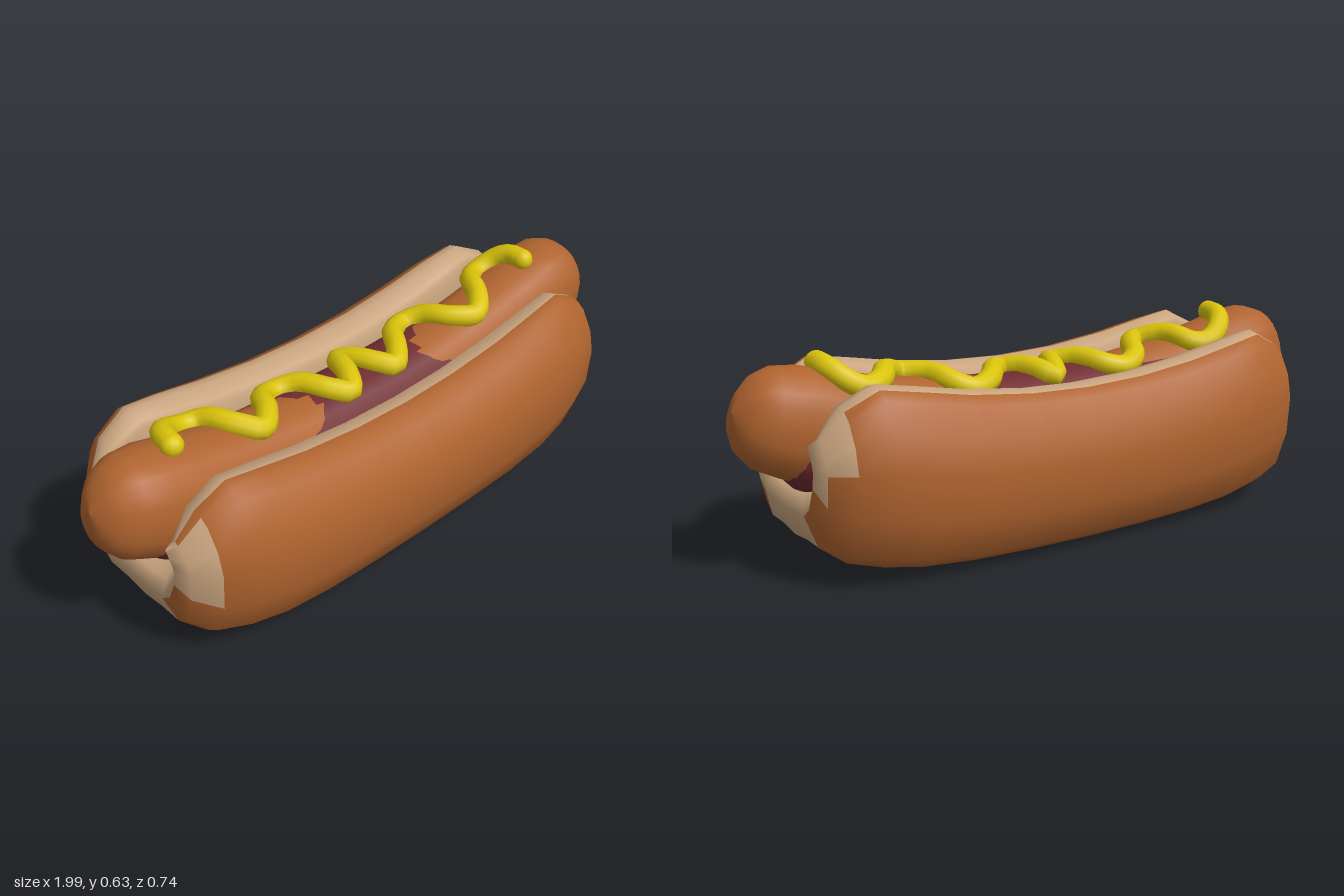
import * as THREE from 'three';

const mat = (name, color) => {
  const m = new THREE.MeshStandardMaterial({ color });
  m.name = name;
  return m;
};
const lerp = THREE.MathUtils.lerp;

// Bun cross-section, from the crest down to the middle of the base: [z, y]
const OUTER = [[.222, .57], [.262, .56], [.30, .535], [.35, .44], [.372, .33], [.364, .18], [.315, .05], [.26, .01], [.14, .015], [0, 0]];
const INNER = [[.165, .553], [.155, .53], [.147, .49], [.145, .43], [.142, .38], [.132, .325], [.112, .285], [.08, .26], [.04, .25], [0, .25]];
const mirror = (half) => [...half, ...half.slice(0, -1).reverse().map(([z, y]) => [-z, y])];

// Bun stations: [x, shrink towards the wall core, lowering of the arms]
const HALF = [[0, 0, 0], [.2, 0, 0], [.4, 0, 0], [.56, .04, 0], [.68, .15, .03], [.78, .36, .26], [.84, .78, .58]];
const CAP = [.868, .64];

function makeBun() {
  const outer = mirror(OUTER), inner = mirror(INNER), n = outer.length, ring = 2 * n;
  const core = outer.map((p, i) => [lerp(inner[i][0], p[0], .32), lerp(inner[i][1], p[1], .32)]);
  const pos = [], crust = [], crumb = [];

  const addPoint = (x, [z, y], drop) => {
    const t = Math.min(Math.abs(x), .72) / .65;
    if (y > .3) y = lerp(y, .3, drop);
    pos.push(x, y * .86 + t * t * (.024 + .104 * y), z);
  };
  const shrink = (p, i, f) => [lerp(p[0], core[i][0], f), lerp(p[1], core[i][1], f * .6)];

  const rows = [...HALF.slice(1).reverse().map(([x, f, d]) => [-x, f, d]), ...HALF];
  for (const [x, f, d] of rows) {
    outer.forEach((p, i) => addPoint(x, shrink(p, i, f), d));
    for (let i = n - 1; i >= 0; i--) addPoint(x, shrink(inner[i], i, f), d);
  }

  // Walls: crust outside, crumb inside, on the back crest and on one cut arm at each end
  const last = rows.length - 1;
  for (let k = 0; k < last; k++) {
    for (let j = 0; j < ring; j++) {
      const a = k * ring + j, b = k * ring + (j + 1) % ring;
      const cut = (k === 0 && j >= 1 && j <= 4) || (k === last - 1 && j >= n - 5 && j <= n - 3);
      const list = j < n - 2 && !cut ? crust : crumb;
      list.push(a, b, a + ring, b, b + ring, a + ring);
    }
  }

  // Rounded end faces: the crust wraps further over one arm than the other
  for (const side of [-1, 1]) {
    const base = side < 0 ? 0 : last * ring, m0 = pos.length / 3;
    core.forEach((p) => addPoint(side * CAP[0], p, CAP[1]));
    const tri = (list, a, b, c) => (side > 0 ? list.push(a, b, c) : list.push(a, c, b));
    const quad = (list, a, b, c, d) => { tri(list, a, b, c); tri(list, b, d, c); };
    const inn = (j) => base + ring - 1 - j;
    for (let j = 0; j < n - 1; j++) {
      const w = side > 0 ? j : n - 2 - j;
      const crusty = w < 7 || w === 11 || w === 12;
      quad(crusty ? crust : crumb, base + j, base + j + 1, m0 + j, m0 + j + 1);
      quad(crumb, m0 + j, m0 + j + 1, inn(j), inn(j + 1));
    }
    tri(crumb, inn(0), base, m0);
    tri(crumb, base + n - 1, inn(n - 1), m0 + n - 1);
  }

  const g = new THREE.BufferGeometry();
  g.setAttribute('position', new THREE.Float32BufferAttribute(pos, 3));
  g.setIndex([...crust, ...crumb]);
  g.addGroup(0, crust.length, 0);
  g.addGroup(crust.length, crumb.length, 1);
  g.computeVertexNormals();
  return g;
}

// Curved rod along x: centre height y0 + bend * x^2, rounded-square section
const SAUSAGE = { y0: .322, bend: .175, rz: .143, ry: .163, z0: 0 };
const SAUCE = { y0: .327, bend: .1, rz: .152, ry: .163, z0: -.006 };
const SQUARE = 2.3;
const bulge = (v) => Math.sign(v) * Math.abs(v) ** (2 / SQUARE);

function makeRod({ y0, bend, rz, ry, z0 }, length, sides = 20) {
  const half = [[0, 1], [.15, 1], [.3, 1], [.45, 1], [.6, 1], [.72, 1], [.83, 1], [.91, .9], [.957, .7], [.985, .42], [1, 0]];
  const rows = [...half.slice(1).reverse().map(([s, r]) => [-s, r]), ...half];
  const pos = [], idx = [];
  rows.forEach(([s, r], k) => {
    const x = s * length, tilt = Math.atan(2 * bend * x);
    for (let j = 0; j < sides; j++) {
      const a = j / sides * Math.PI * 2, up = bulge(Math.sin(a)) * ry * r;
      pos.push(x - up * Math.sin(tilt), y0 + bend * x * x + up * Math.cos(tilt), z0 + bulge(Math.cos(a)) * rz * r);
      if (k === rows.length - 1) continue;
      const p = k * sides + j, q = k * sides + (j + 1) % sides;
      idx.push(p, p + sides, q, q, p + sides, q + sides);
    }
  });
  const g = new THREE.BufferGeometry();
  g.setAttribute('position', new THREE.Float32BufferAttribute(pos, 3));
  g.setIndex(idx);
  g.computeVertexNormals();
  return g;
}

const topOf = ({ y0, bend, rz, ry, z0 }, x, z) =>
  y0 + bend * x * x + ry * Math.max(0, 1 - Math.abs((z - z0) / rz) ** SQUARE) ** (1 / SQUARE);

export function createModel() {
  const group = new THREE.Group();
  const brown = mat('toasted brown', 0xb0642f);
  const tan = mat('bread tan', 0xcba680);
  const maroon = mat('sauce maroon', 0x702c30);
  const yellow = mat('mustard yellow', 0xdbc40c);

  const add = (name, geometry, material) => {
    const mesh = new THREE.Mesh(geometry, material);
    mesh.name = name;
    group.add(mesh);
    return mesh;
  };

  add('bun', makeBun(), [brown, tan]).position.x = -.016;
  add('sausage', makeRod(SAUSAGE, .99), brown);
  add('sauce', makeRod(SAUCE, .88), maroon);

  // Mustard zigzag: [x, z], its samples lifted onto the rounded top
  const path = [[-.725, .025], [-.71, -.04], [-.67, -.085], [-.61, -.103], [-.55, -.085], [-.50, .01], [-.44, .06],
    [-.38, .01], [-.33, -.075], [-.27, -.10], [-.21, -.075], [-.15, .03], [-.10, .065], [-.06, .01], [-.01, -.09],
    [.05, .02], [.09, .06], [.14, .02], [.21, -.07], [.28, -.10], [.33, -.075], [.38, .02], [.45, .065],
    [.51, .02], [.57, -.07], [.63, -.10], [.69, -.085], [.72, -.04], [.725, .02]];
  const flat = new THREE.CatmullRomCurve3(path.map(([x, z]) => new THREE.Vector3(x, 0, z)));
  const samples = flat.getPoints(90).map(({ x, z }) =>
    new THREE.Vector3(x, Math.max(topOf(SAUSAGE, x, z), topOf(SAUCE, x, z)) + .012 + .014 * x * x, z));
  add('mustard', new THREE.TubeGeometry(new THREE.CatmullRomCurve3(samples), 140, .035, 10), yellow);
  for (const p of [samples[0], samples[samples.length - 1]]) {
    add('mustardEnd', new THREE.SphereGeometry(.035, 12, 8), yellow).position.copy(p);
  }
  return group;
}
